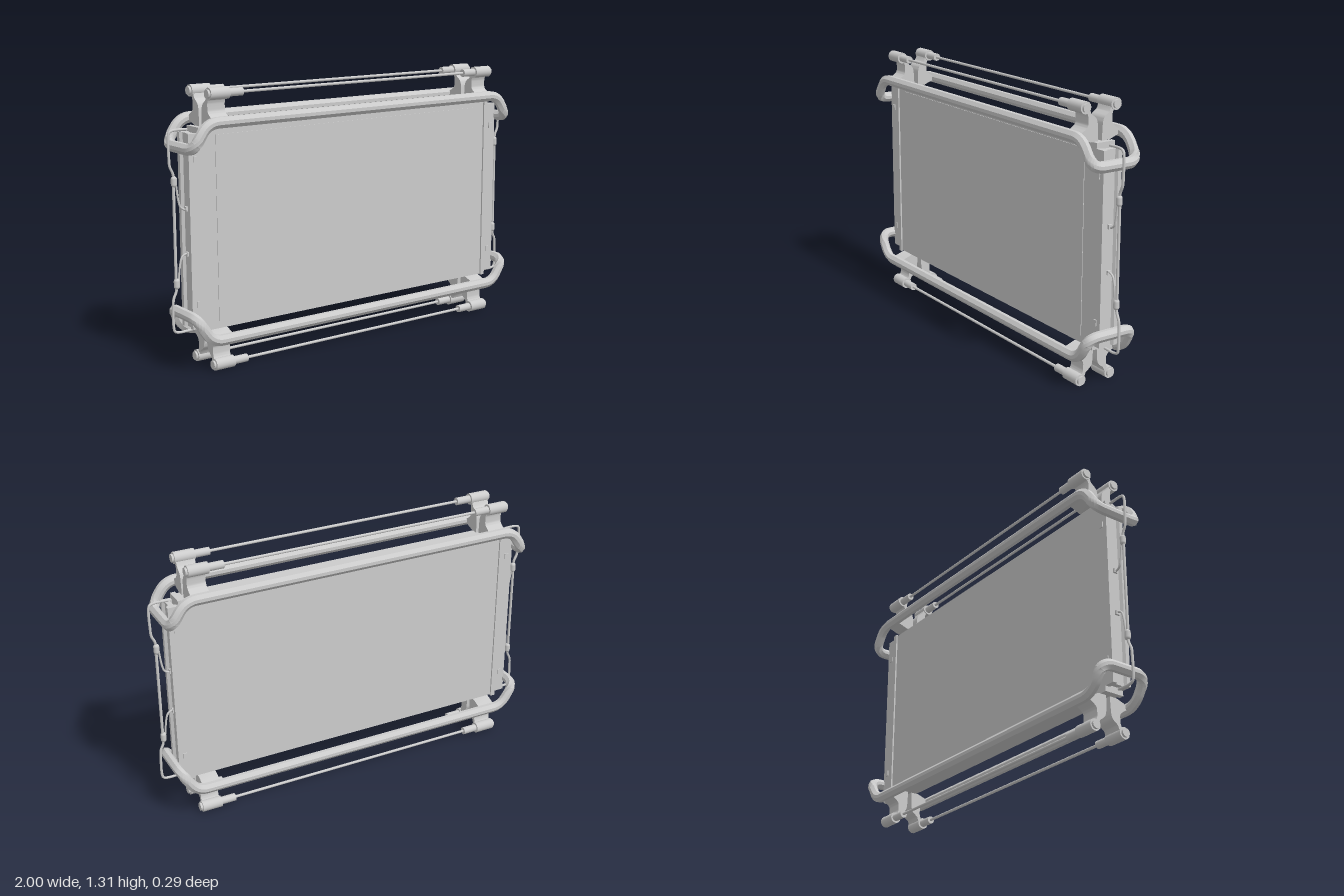
import * as THREE from 'three';
import { toCreasedNormals } from 'three/addons/utils/BufferGeometryUtils.js';

const HEIGHT = 1.31;
const mat = new THREE.MeshStandardMaterial({ color: 0xcccccc });
const V = (x, y, z) => new THREE.Vector3(x, y, z);

function add(parent, name, geo, x = 0, y = 0, z = 0) {
  const m = new THREE.Mesh(geo, mat);
  m.name = name;
  m.position.set(x, y, z);
  parent.add(m);
  return m;
}
const box = (w, h, d) => new THREE.BoxGeometry(w, h, d);
const rodX = (r, len, sides = 20) => new THREE.CylinderGeometry(r, r, len, sides).rotateZ(Math.PI / 2);

// Replace every corner of a closed polygon with a short curve
function roundLoop(pts, r) {
  const out = [];
  pts.forEach((p, i) => {
    const a = pts[(i + pts.length - 1) % pts.length], b = pts[(i + 1) % pts.length];
    const p0 = p.clone().add(a.clone().sub(p).setLength(r));
    const p1 = p.clone().add(b.clone().sub(p).setLength(r));
    out.push(...new THREE.QuadraticBezierCurve3(p0, p, p1).getPoints(8));
  });
  return out;
}

// Sweep a cross-section (side, up) round a closed loop
function sweepLoop(path, section) {
  const n = path.length, k = section.length, pos = [], idx = [];
  path.forEach((p, i) => {
    const d0 = p.clone().sub(path[(i + n - 1) % n]).normalize();
    const d1 = path[(i + 1) % n].clone().sub(p).normalize();
    const t = d0.add(d1).normalize();
    const side = t.clone().cross(V(0, 1, 0)).normalize();
    const up = side.clone().cross(t);
    for (let j = 0; j < k; j++) {
      const q = p.clone().addScaledVector(side, section[j][0]).addScaledVector(up, section[j][1]);
      pos.push(q.x, q.y, q.z);
      const a = i * k + j, b = i * k + (j + 1) % k;
      const c = ((i + 1) % n) * k + j, d = ((i + 1) % n) * k + (j + 1) % k;
      idx.push(a, c, b, b, c, d);
    }
  });
  const g = new THREE.BufferGeometry();
  g.setAttribute('position', new THREE.Float32BufferAttribute(pos, 3));
  g.setIndex(idx);
  return toCreasedNormals(g, 0.6);
}

function bumperGeometry() {
  const bx = 0.865, by = 1.155, ex = 0.938, ey = 1.04, z = 0.122;
  const loop = [V(-bx, by, z), V(bx, by, z), V(ex, ey, z), V(ex, ey, -z),
    V(bx, by, -z), V(-bx, by, -z), V(-ex, ey, -z), V(-ex, ey, z)];
  const section = [[0.023, -0.008], [0.023, 0.008], [0.009, 0.025], [-0.009, 0.025],
    [-0.023, 0.008], [-0.023, -0.008], [-0.009, -0.025], [0.009, -0.025]];
  return sweepLoop(roundLoop(loop, 0.055), section);
}

// Flared bracket from the panel edge to the rod clamp
function bracketGeometry() {
  const s = new THREE.Shape();
  s.moveTo(0.01, 1.125);
  s.lineTo(0.013, 1.19);
  s.bezierCurveTo(0.014, 1.235, 0.035, 1.235, 0.05, 1.25);
  s.lineTo(0.06, 1.275);
  s.lineTo(0.085, 1.27);
  s.bezierCurveTo(0.062, 1.245, 0.065, 1.235, 0.065, 1.21);
  s.bezierCurveTo(0.063, 1.185, 0.09, 1.18, 0.105, 1.165);
  s.lineTo(0.105, 1.145);
  s.lineTo(0.05, 1.125);
  s.closePath();
  const g = new THREE.ExtrudeGeometry(s, { depth: 0.09, bevelEnabled: false, curveSegments: 10 });
  return toCreasedNormals(g.translate(0, 0, -0.045).rotateY(-Math.PI / 2), 0.6);
}

// Bumper, brackets, clamps and guard rods of the upper edge
function edgeAssembly(name) {
  const g = new THREE.Group();
  g.name = name;
  add(g, 'bumper', bumperGeometry());
  const bracket = bracketGeometry(), y = 1.28;
  for (const sz of [1, -1]) {
    const z = sz * 0.083;
    add(g, 'guardRod', rodX(0.007, 1.36, 12), 0, y, z);
    for (const sx of [1, -1]) {
      add(g, 'bracket', bracket, sx * 0.785, 0, 0).rotation.y = sz > 0 ? 0 : Math.PI;
      add(g, 'clamp', rodX(0.028, 0.1, 24), sx * 0.785, y, z);
      add(g, 'clampCap', rodX(0.02, 0.012, 24), sx * 0.839, y, z);
      add(g, 'rodSleeve', rodX(0.019, 0.08), sx * 0.7, y, z);
    }
  }
  return g;
}

const wire = (pts, r = 0.0065) => new THREE.TubeGeometry(
  new THREE.CatmullRomCurve3(pts, false, 'centripetal'), 40, r, 8);

// Upper half of the side wire, with its connector and hook
function wireHalf() {
  const g = new THREE.Group();
  g.name = 'wireHalf';
  add(g, 'outerWire', wire([V(0.9, 1.12, 0), V(0.97, 1.12, 0), V(0.988, 1.113, 0), V(0.994, 1.095, 0),
    V(0.994, 1.0, 0), V(0.991, 0.96, 0), V(0.976, 0.925, 0), V(0.973, 0.89, 0)]));
  add(g, 'connector', new THREE.CapsuleGeometry(0.014, 0.024, 6, 12), 0.972, 0.89, 0);
  add(g, 'innerHook', wire([V(0.87, 0.755, 0), V(0.92, 0.757, 0), V(0.942, 0.77, 0),
    V(0.952, 0.8, 0), V(0.962, 0.875, 0)], 0.005));
  return g;
}

// Grooved rail with an H-shaped plan
function railGeometry(len) {
  const half = [[0.025, 0.05], [0.025, 0.03], [0.012, 0.022]];
  const pts = [...half, ...half.slice().reverse().map(([x, z]) => [x, -z])];
  const all = [...pts, ...pts.slice().reverse().map(([x, z]) => [-x, z])];
  const s = new THREE.Shape(all.map(([x, z]) => new THREE.Vector2(x, z)));
  const g = new THREE.ExtrudeGeometry(s, { depth: len, bevelEnabled: false });
  return g.translate(0, 0, -len / 2).rotateX(Math.PI / 2);
}

function sideAssembly(name) {
  const g = new THREE.Group(), mid = HEIGHT / 2;
  g.name = name;
  add(g, 'edgeStrip', box(0.024, 0.95, 0.1), 0.86, mid, 0);
  add(g, 'sideRail', railGeometry(0.9), 0.897, mid, 0);
  for (const y of [0.32, 0.99]) {
    for (const z of [0.046, -0.046]) add(g, 'railClip', box(0.02, 0.028, 0.018), 0.89, y, z);
  }
  for (const y of [0.55, 0.76]) add(g, 'wireSocket', box(0.012, 0.02, 0.02), 0.913, y, 0);
  const lower = wireHalf();
  lower.rotation.x = Math.PI;
  lower.position.y = HEIGHT;
  g.add(wireHalf(), lower);
  add(g, 'pullRod', new THREE.CylinderGeometry(0.007, 0.007, 0.48, 10), 0.975, mid, 0);
  return g;
}

export function createModel() {
  const model = new THREE.Group();
  model.name = 'framedPanel';

  // Flat panel with a slightly raised front face
  add(model, 'panel', box(1.7, 0.94, 0.084), 0, HEIGHT / 2, 0);
  add(model, 'frontFace', box(1.56, 0.87, 0.01), 0, HEIGHT / 2, 0.04);

  // Top and bottom edges
  const bottom = edgeAssembly('bottomEdge');
  bottom.rotation.x = Math.PI;
  bottom.position.y = HEIGHT;
  model.add(edgeAssembly('topEdge'), bottom);

  // Left and right sides
  const right = sideAssembly('rightSide');
  right.rotation.y = Math.PI;
  model.add(sideAssembly('leftSide'), right);
  return model;
}
